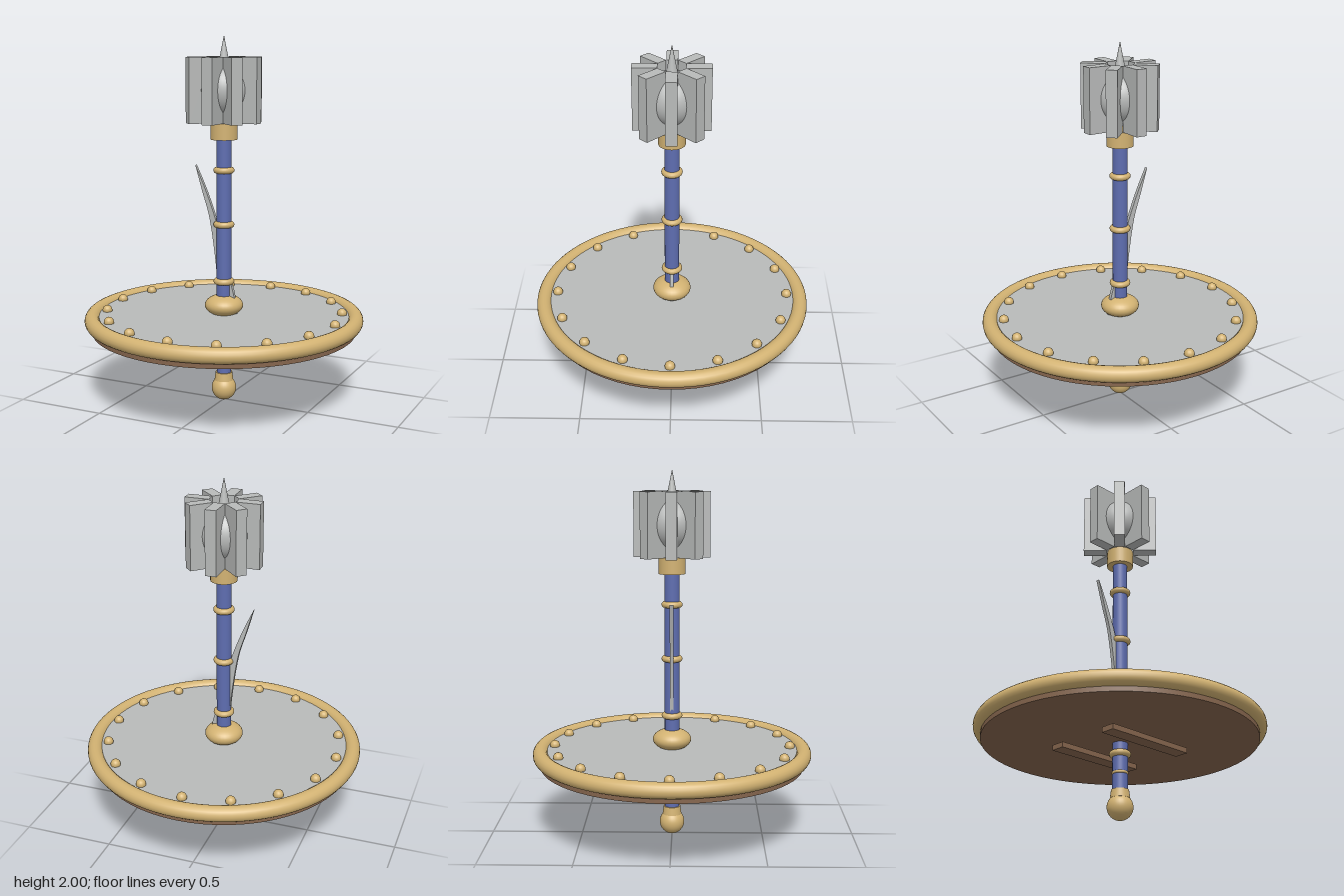
import * as THREE from 'three';

const mat = (name, color) => {
  const m = new THREE.MeshStandardMaterial({ color });
  m.name = name;
  return m;
};

export function createModel() {
  const model = new THREE.Group();
  const steel = mat('steel', 0xb8bab9);
  const gold = mat('gold', 0xd2b272);
  const blue = mat('blue grip', 0x5e6db0);
  const wood = mat('wood', 0x86664e);

  const add = (name, geometry, material, x = 0, y = 0, z = 0, parent = model) => {
    const mesh = new THREE.Mesh(geometry, material);
    mesh.name = name;
    mesh.position.set(x, y, z);
    parent.add(mesh);
    return mesh;
  };
  const cyl = (r0, r1, bottom, top, sides = 32) =>
    new THREE.CylinderGeometry(r1, r0, top - bottom, sides).translate(0, (top + bottom) / 2, 0);

  // Shaft with its pommel, collars and rings
  add('shaft', cyl(0.04, 0.04, 0.1, 1.5), blue);
  add('pommel', new THREE.SphereGeometry(0.068, 32, 20), gold, 0, 0.07);
  add('pommelCollar', cyl(0.052, 0.046, 0.115, 0.16), gold);
  add('headCollar', cyl(0.072, 0.072, 1.45, 1.54), gold);
  for (const y of [0.35, 0.675, 0.99, 1.285]) {
    add('shaftRing', new THREE.TorusGeometry(0.04, 0.017, 12, 32).rotateX(Math.PI / 2), gold, 0, y);
  }
  add('smallRing', new THREE.TorusGeometry(0.035, 0.009, 10, 32).rotateX(Math.PI / 2), gold, 0, 0.248);

  // Flanged head: round core, eight upright flanges and a top spike
  const head = new THREE.Group();
  head.name = 'head';
  model.add(head);
  add('headCore', new THREE.SphereGeometry(0.14, 32, 24), steel, 0, 1.713, 0, head);
  for (let i = 0; i < 8; i++) {
    const flange = add('flange', new THREE.BoxGeometry(0.13, 0.346, 0.06).translate(0.138, 0, 0),
      steel, 0, 1.713, 0, head);
    flange.rotation.y = (i * Math.PI) / 4;
  }
  add('spike', new THREE.ConeGeometry(0.032, 0.16, 20), steel, 0, 1.92, 0, head);

  // Round shield lying flat around the shaft
  const shield = new THREE.Group();
  shield.name = 'shield';
  model.add(shield);
  add('shieldPlate', cyl(0.72, 0.72, 0.45, 0.495, 64), steel, 0, 0, 0, shield);
  add('shieldBacking', cyl(0.72, 0.72, 0.408, 0.45, 64), wood, 0, 0, 0, shield);
  add('shieldRim', new THREE.TorusGeometry(0.718, 0.042, 18, 80).rotateX(Math.PI / 2), gold, 0, 0.475, 0, shield);
  add('shieldBoss', new THREE.SphereGeometry(0.105, 32, 20).scale(1, 0.56, 1), gold, 0, 0.542, 0, shield);
  for (let i = 0; i < 16; i++) {
    const a = (i * Math.PI) / 8;
    add('rivet', new THREE.SphereGeometry(0.027, 16, 12), gold,
      0.645 * Math.cos(a), 0.503, 0.645 * Math.sin(a), shield);
  }
  for (const side of [-1, 1]) {
    add('shieldGrip', new THREE.BoxGeometry(0.53, 0.028, 0.08), wood, 0, 0.378, side * 0.186, shield);
  }

  // Thin curved blade rising through the boss past the shaft
  const outline = new THREE.Shape();
  outline.moveTo(-0.168, 1.305);
  outline.splineThru([[-0.125, 1.16], [-0.085, 1.03], [-0.055, 0.85], [-0.037, 0.68], [-0.03, 0.5]]
    .map((p) => new THREE.Vector2(...p)));
  outline.lineTo(0.078, 0.5);
  outline.splineThru([[0.064, 0.6], [0.042, 0.68], [-0.005, 0.85], [-0.045, 1.01], [-0.105, 1.17], [-0.168, 1.305]]
    .map((p) => new THREE.Vector2(...p)));
  const blade = new THREE.ExtrudeGeometry(outline, { depth: 0.02, bevelEnabled: false, curveSegments: 16 });
  add('curvedBlade', blade.translate(0, 0, -0.01), steel);

  return model;
}
